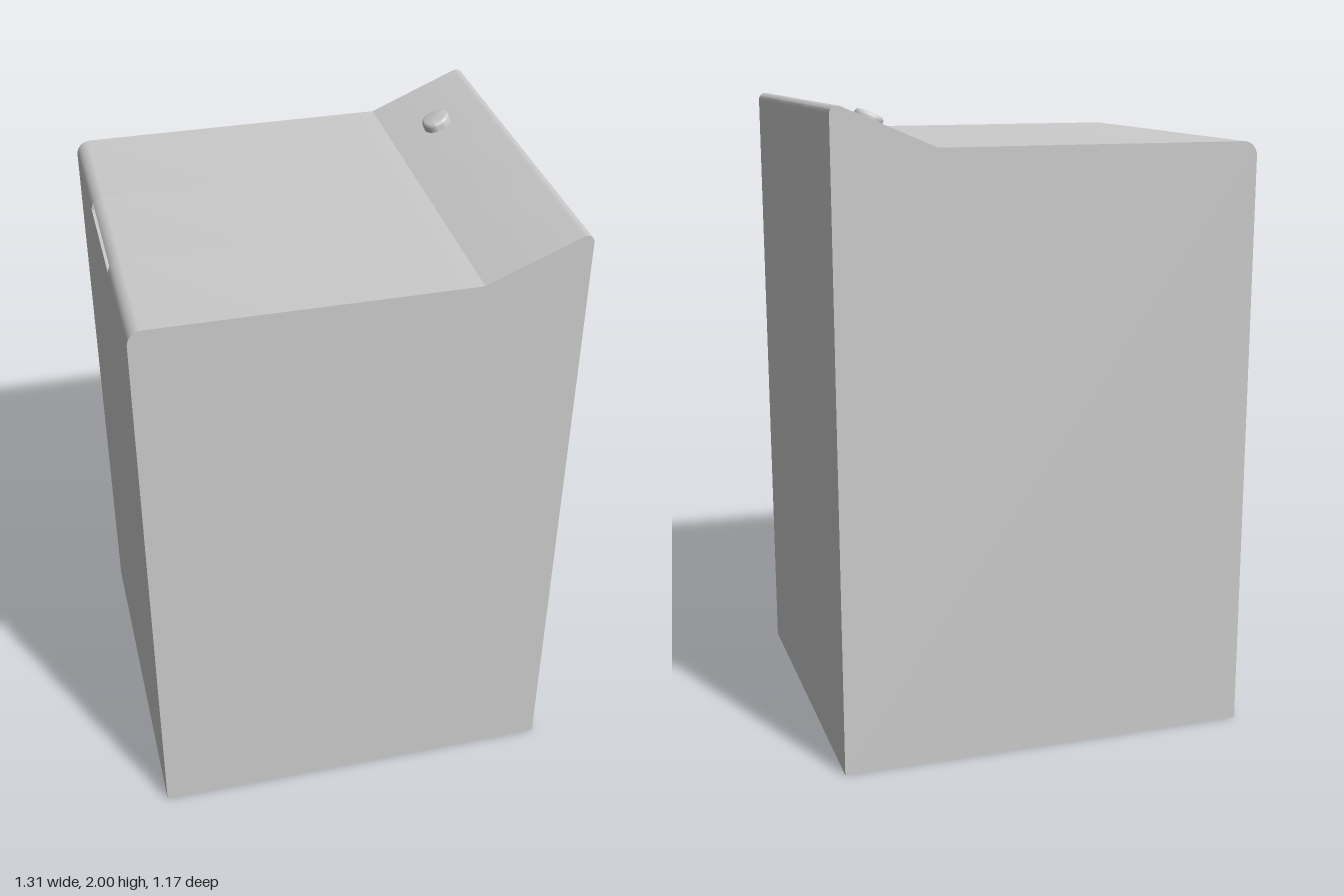
import * as THREE from 'three';
import { toCreasedNormals } from 'three/addons/utils/BufferGeometryUtils.js';

const W = 0.655, D = 0.587, SLOT = 0.195;
const material = new THREE.MeshStandardMaterial({ color: 0xcccccc, side: THREE.DoubleSide });

function mesh(geometry, name) {
  const m = new THREE.Mesh(geometry, material);
  m.name = name;
  return m;
}

// Points along an arc, angles in degrees
function arc(cx, cy, r, from, to, steps) {
  return Array.from({ length: steps + 1 }, (_, i) => {
    const a = THREE.MathUtils.degToRad(from + (to - from) * i / steps);
    return new THREE.Vector2(cx + r * Math.cos(a), cy + r * Math.sin(a));
  });
}

// Open strip that sweeps a profile in x and y from z0 to z1
function strip(points, z0, z1) {
  const pos = [];
  for (let i = 0; i < points.length - 1; i++) {
    const p = points[i], q = points[i + 1];
    pos.push(p.x, p.y, z0, p.x, p.y, z1, q.x, q.y, z1);
    pos.push(p.x, p.y, z0, q.x, q.y, z1, q.x, q.y, z0);
  }
  const g = new THREE.BufferGeometry();
  g.setAttribute('position', new THREE.Float32BufferAttribute(pos, 3));
  return toCreasedNormals(g, 0.35);
}

export function createModel() {
  const group = new THREE.Group();

  // Profile: left wall, rounded edge, flat lid, rising ramp, right wall
  const corner = arc(-W + 0.045, 1.835, 0.045, 180, 90, 9);
  const rest = [
    new THREE.Vector2(0.345, 1.88),
    ...arc(W - 0.023, 1.977, 0.023, 113, 0, 8),
    new THREE.Vector2(W, 0),
  ];
  const foot = new THREE.Vector2(-W, 0);
  const profile = [foot, ...corner, ...rest];

  // Same profile with a shallow grip slot cut into the rounded edge
  const lip = corner[3];
  const recess = [
    corner[0],
    new THREE.Vector2(-W + 0.02, corner[0].y),
    new THREE.Vector2(-W + 0.02, lip.y),
  ];
  const slotted = [foot, ...recess, ...corner.slice(3), ...rest];

  // Shell, open underneath
  group.add(mesh(strip(profile, -D, -SLOT), 'shellBack'));
  group.add(mesh(strip(slotted, -SLOT, SLOT), 'shellMiddle'));
  group.add(mesh(strip(profile, SLOT, D), 'shellFront'));

  // Flat end walls and the ends of the slot
  const wall = new THREE.ShapeGeometry(new THREE.Shape(profile));
  const slotEnd = new THREE.ShapeGeometry(new THREE.Shape([...recess, lip, corner[2], corner[1]]));
  for (const s of [1, -1]) {
    const panel = mesh(wall.clone(), s > 0 ? 'frontWall' : 'backWall');
    // Turn the back wall to face outwards, mirroring its outline to match
    if (s < 0) panel.geometry.rotateY(Math.PI).scale(-1, 1, 1);
    if (s < 0) {
      const index = panel.geometry.index.array;
      for (let i = 0; i < index.length; i += 3) [index[i], index[i + 1]] = [index[i + 1], index[i]];
      panel.geometry.computeVertexNormals();
    }
    panel.position.z = s * D;
    const end = mesh(slotEnd, 'slotEnd');
    end.position.z = s * SLOT;
    group.add(panel, end);
  }

  // Round button standing square to the ramp
  const rim = arc(0.033, 0.02, 0.012, 0, 90, 5);
  const button = mesh(toCreasedNormals(new THREE.LatheGeometry([
    new THREE.Vector2(0.045, -0.005), ...rim, new THREE.Vector2(0, 0.032),
  ], 32), 0.6), 'button');
  button.position.set(0.487, 1.938, -0.315);
  button.rotation.z = Math.atan2(0.118, 0.278);
  group.add(button);

  return group;
}
